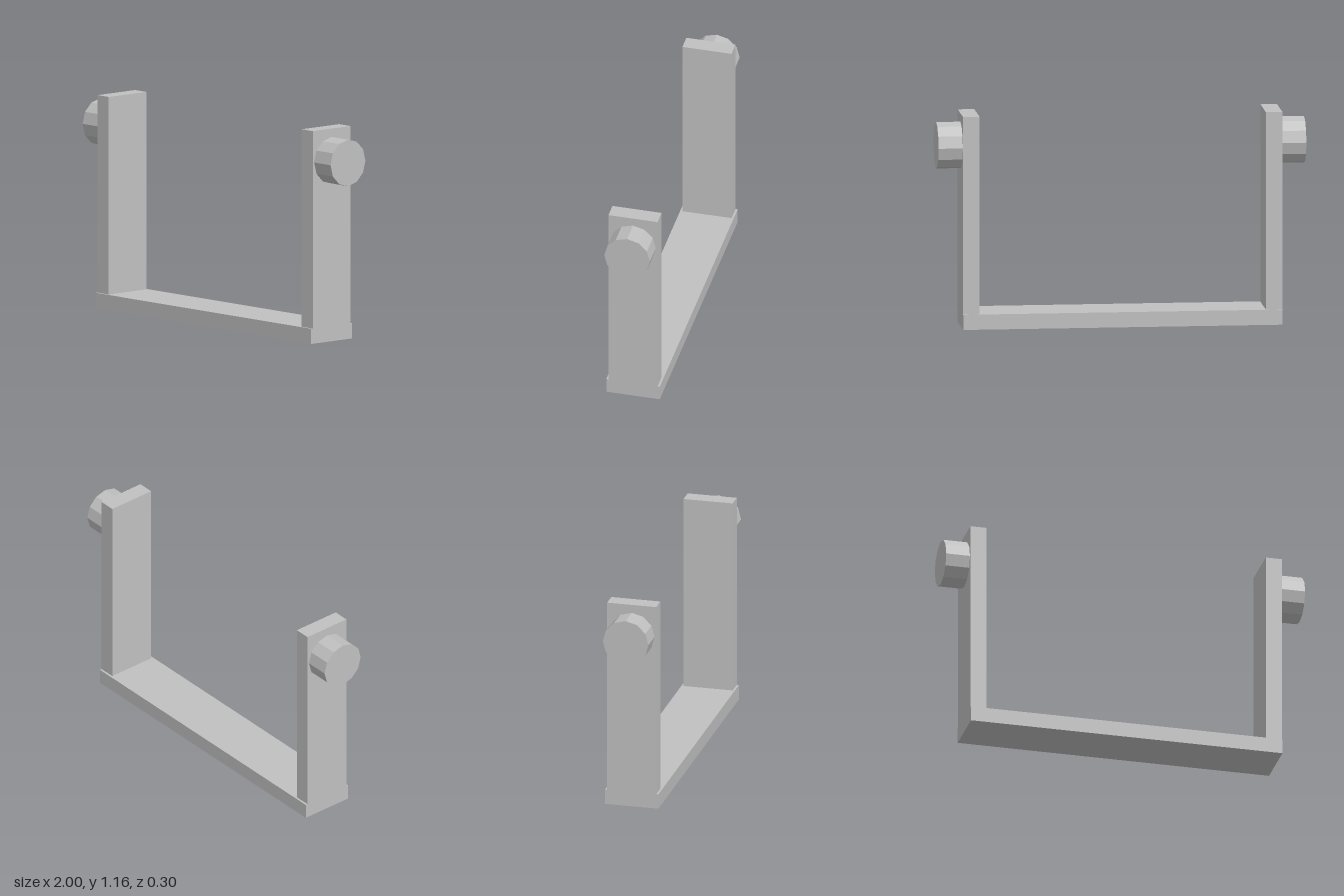
import * as THREE from 'three';

export function createModel() {
  const model = new THREE.Group();
  const grey = new THREE.MeshStandardMaterial({ color: 0xc0c0c0, flatShading: true });
  grey.name = 'light grey';

  const add = (name, geometry, x, y) => {
    const mesh = new THREE.Mesh(geometry, grey);
    mesh.name = name;
    mesh.position.set(x, y, 0);
    model.add(mesh);
  };

  // Base bar, slightly deeper than the uprights
  const baseHeight = 0.083, outer = 0.868, inner = 0.778, top = 1.163;
  add('baseBar', new THREE.BoxGeometry(outer * 2, baseHeight, 0.298), 0, baseHeight / 2);

  // Uprights and their twelve-sided outer knobs, mirrored
  for (const [side, s] of [['left', 1], ['right', -1]]) {
    const upright = new THREE.BoxGeometry(outer - inner, top - baseHeight, 0.274);
    add(side + 'Upright', upright, s * (outer + inner) / 2, (top + baseHeight) / 2);

    const knob = new THREE.CylinderGeometry(0.127, 0.127, 1 - outer, 12).rotateZ(-s * Math.PI / 2);
    add(side + 'Knob', knob, s * (1 + outer) / 2, 0.99);
  }
  return model;
}
